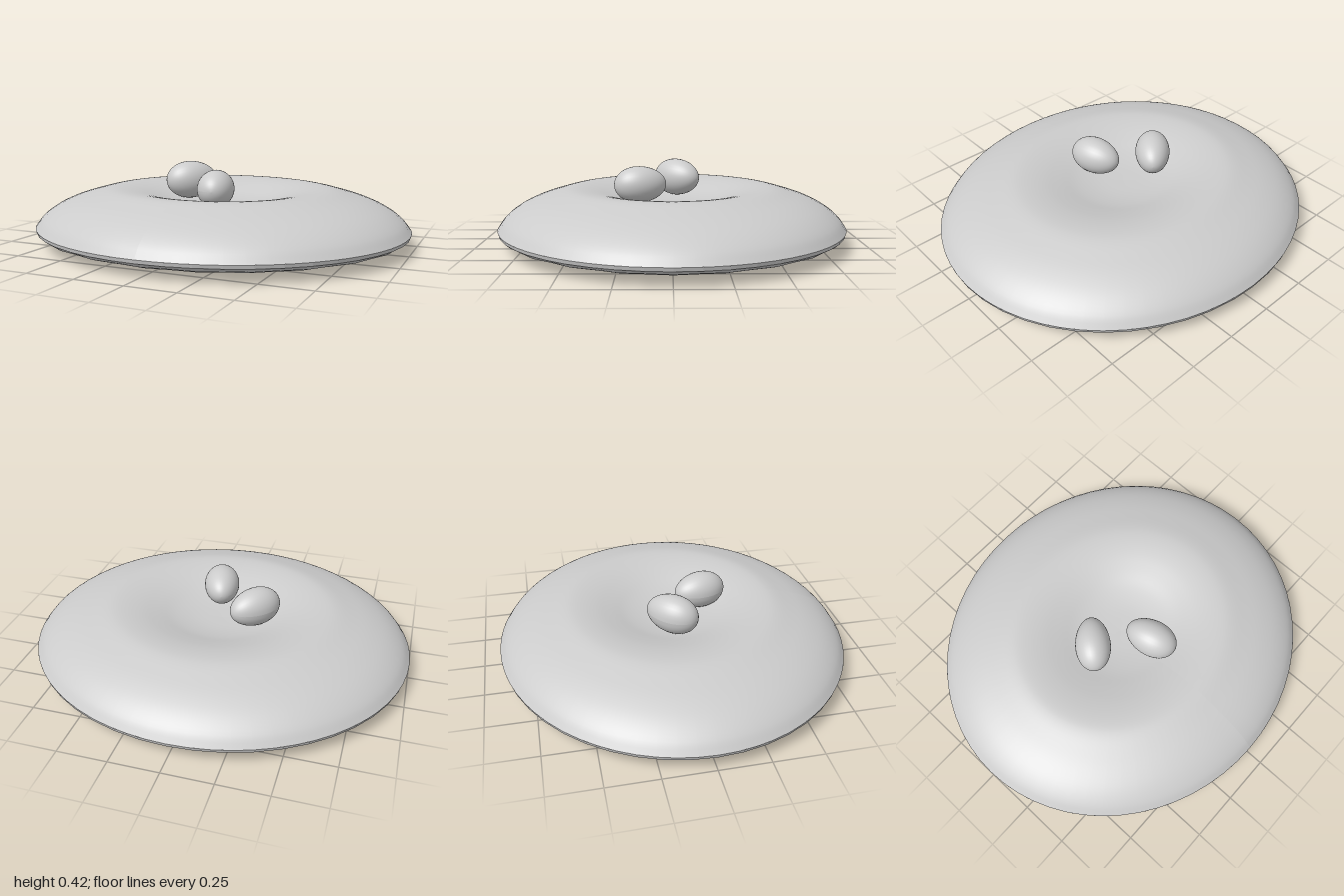
import * as THREE from 'three';

const DEPTH = 0.91; // the dish is slightly oval

function profile(points, divisions) {
  const curve = new THREE.CatmullRomCurve3(points.map(([r, y]) => new THREE.Vector3(r, y, 0)));
  return curve.getPoints(divisions).map((p) => new THREE.Vector2(Math.max(p.x, 0), p.y));
}

// Ellipsoid with one slightly blunter end, long axis along z
function egg(name, width, height, length, position, turn, material) {
  const geometry = new THREE.SphereGeometry(1, 32, 24);
  geometry.rotateX(Math.PI / 2);
  const p = geometry.attributes.position;
  for (let i = 0; i < p.count; i++) {
    const k = 1 + 0.07 * p.getZ(i);
    p.setXYZ(i, p.getX(i) * width * k, p.getY(i) * height * k, p.getZ(i) * length);
  }
  geometry.computeVertexNormals();
  const mesh = new THREE.Mesh(geometry, material);
  mesh.name = name;
  mesh.position.set(...position);
  mesh.rotation.y = turn;
  return mesh;
}

export function createModel() {
  const smooth = new THREE.MeshStandardMaterial({ color: 0xcccccc, side: THREE.DoubleSide });
  const faceted = new THREE.MeshStandardMaterial({ color: 0xcccccc, flatShading: true, side: THREE.DoubleSide });
  const group = new THREE.Group();
  group.name = 'nest';

  // Rounded rim and shallow hollow
  const upper = new THREE.LatheGeometry(profile([
    [1, 0.09], [0.96, 0.14], [0.89, 0.19], [0.8, 0.23], [0.7, 0.26], [0.6, 0.283], [0.53, 0.284],
    [0.44, 0.272], [0.35, 0.25], [0.25, 0.222], [0.14, 0.205], [0, 0.2],
  ], 44), 64);
  upper.scale(1, 1, DEPTH);
  upper.computeVertexNormals();
  const top = new THREE.Mesh(upper, smooth);
  top.name = 'nestTop';
  group.add(top);

  // Faceted underside with a gently rippled edge
  const segments = 48;
  const rings = [[0, 0], [0.5, 0.01], [0.8, 0.022], [0.91, 0.035], [0.97, 0.053], [0.995, 0.072], [1, 0.09]];
  const lower = new THREE.LatheGeometry(rings.map(([r, y]) => new THREE.Vector2(r, y)), segments);
  const p = lower.attributes.position;
  for (let i = 0; i < p.count; i++) {
    const ring = i % rings.length;
    const step = Math.floor(i / rings.length) % segments;
    const ripple = ring === 3 || ring === 4 ? 1 - 0.012 * (step % 2) : 1;
    p.setXYZ(i, p.getX(i) * ripple, p.getY(i), p.getZ(i) * ripple * DEPTH);
  }
  lower.computeVertexNormals();
  const base = new THREE.Mesh(lower, faceted);
  base.name = 'nestUnderside';
  group.add(base);

  // Two eggs resting in the hollow
  group.add(egg('eggRight', 0.092, 0.1, 0.143, [-0.185, 0.315, -0.03], -0.75, smooth));
  group.add(egg('eggLeft', 0.094, 0.096, 0.139, [0.048, 0.302, 0.167], 0.24, smooth));
  return group;
}
